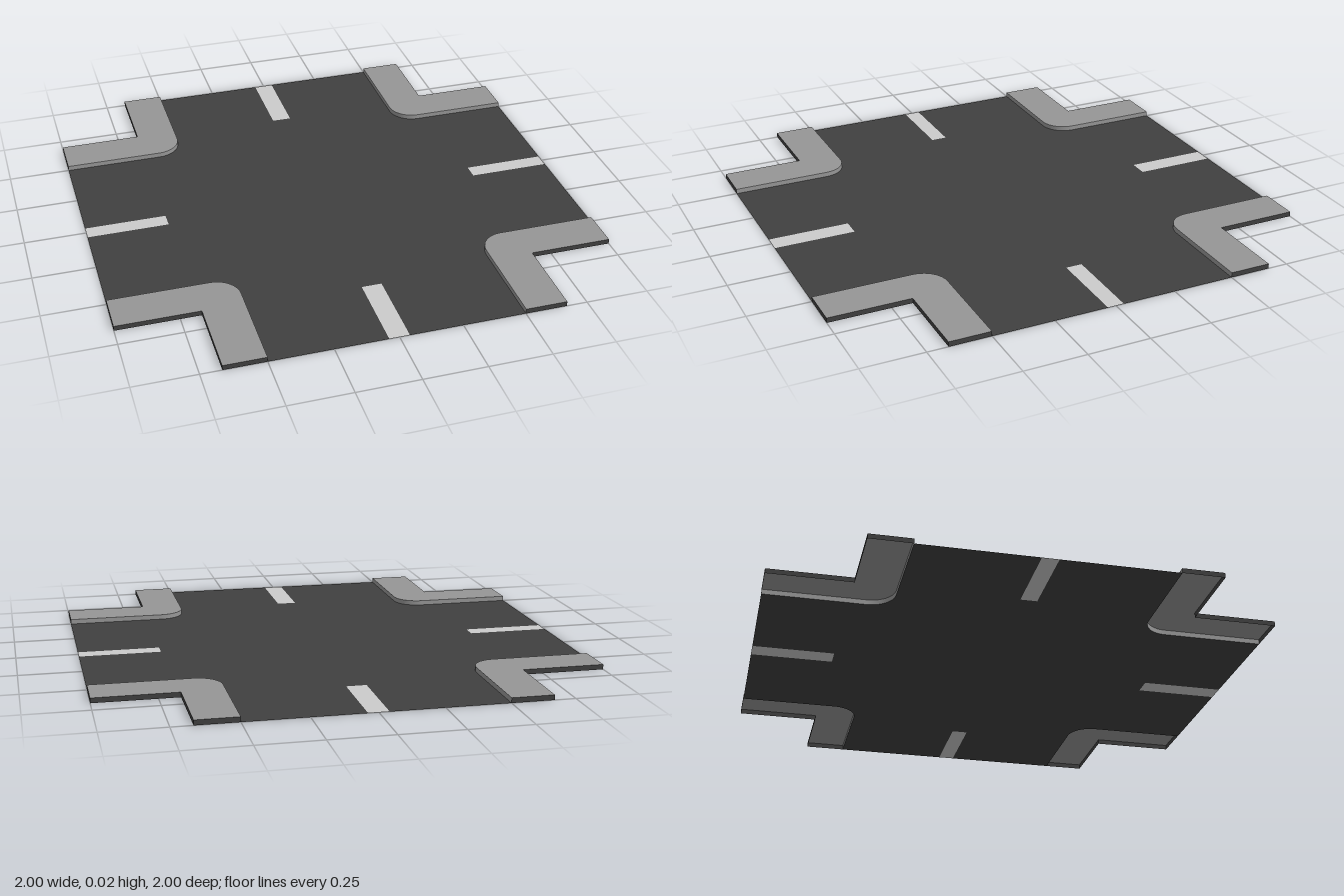
import * as THREE from 'three';

const INNER = 0.5, OUTER = 0.667, RADIUS = 0.1, HEIGHT = 0.02;
const LINE_X = 0.033, LINE_Z = 0.04; // half widths of the lane lines

const material = (color) => new THREE.MeshStandardMaterial({ color, side: THREE.DoubleSide });

// Plan coordinates are (x, -z)
function flat(points, y) {
  const geo = new THREE.ShapeGeometry(new THREE.Shape(points));
  return geo.rotateX(-Math.PI / 2).translate(0, y, 0);
}

// Upright ribbon along a plan path, from the ground to the pavement top
function wall(points, smooth) {
  const pos = [], index = [];
  points.forEach((p, i) => {
    pos.push(p.x, 0, -p.y, p.x, HEIGHT, -p.y);
    if (i) {
      const a = 2 * (i - 1);
      index.push(a, a + 2, a + 3, a, a + 3, a + 1);
    }
  });
  let geo = new THREE.BufferGeometry();
  geo.setAttribute('position', new THREE.Float32BufferAttribute(pos, 3));
  geo.setIndex(index);
  if (!smooth) geo = geo.toNonIndexed();
  geo.computeVertexNormals();
  return geo;
}

export function createModel() {
  const model = new THREE.Group();
  model.name = 'crossroads';
  const asphalt = material(0x404040);
  const paving = material(0x969696);
  const paint = material(0xcccccc);
  const add = (parent, name, geo, mat) => {
    const mesh = new THREE.Mesh(geo, mat);
    mesh.name = name;
    parent.add(mesh);
    return mesh;
  };
  const v = (x, y) => new THREE.Vector2(x, y);

  // Rounded kerb line of one corner
  const kerb = [v(INNER, 1)];
  for (let i = 0; i <= 10; i++) {
    const a = Math.PI + (i / 10) * Math.PI / 2;
    kerb.push(v(INNER + RADIUS * (1 + Math.cos(a)), INNER + RADIUS * (1 + Math.sin(a))));
  }
  kerb.push(v(1, INNER));

  // Road: one quarter outline mirrored round the centre, notched for the lines
  const quarter = [v(LINE_Z, OUTER), v(LINE_Z, 1), ...kerb, v(1, LINE_X), v(OUTER, LINE_X)];
  const outline = [];
  [[1, 1], [1, -1], [-1, -1], [-1, 1]].forEach(([sx, sy]) => {
    const part = quarter.map((p) => v(p.x * sx, p.y * sy));
    outline.push(...(sx * sy < 0 ? part.reverse() : part));
  });
  add(model, 'road', flat(outline, 0), asphalt);

  // Lane lines set into the road
  for (const s of [-1, 1]) {
    const mid = s * (1 + OUTER) / 2, len = 1 - OUTER;
    const plane = (w, d) => new THREE.PlaneGeometry(w, d).rotateX(-Math.PI / 2);
    add(model, 'laneLine', plane(len, 2 * LINE_X), paint).position.x = mid;
    add(model, 'laneLine', plane(2 * LINE_Z, len), paint).position.z = mid;
  }

  // Raised corner pavements, open underneath
  const edge = [v(1, INNER), v(1, OUTER), v(OUTER, OUTER), v(OUTER, 1), v(INNER, 1)];
  const top = flat([...kerb, ...edge.slice(1, -1)], HEIGHT);
  const kerbFace = wall(kerb, true);
  const outerFace = wall(edge, false);
  for (let i = 0; i < 4; i++) {
    const corner = new THREE.Group();
    corner.name = 'pavementCorner';
    corner.rotation.y = i * Math.PI / 2;
    add(corner, 'pavementTop', top, paving);
    add(corner, 'kerbFace', kerbFace, paving);
    add(corner, 'outerEdge', outerFace, asphalt);
    model.add(corner);
  }
  return model;
}
